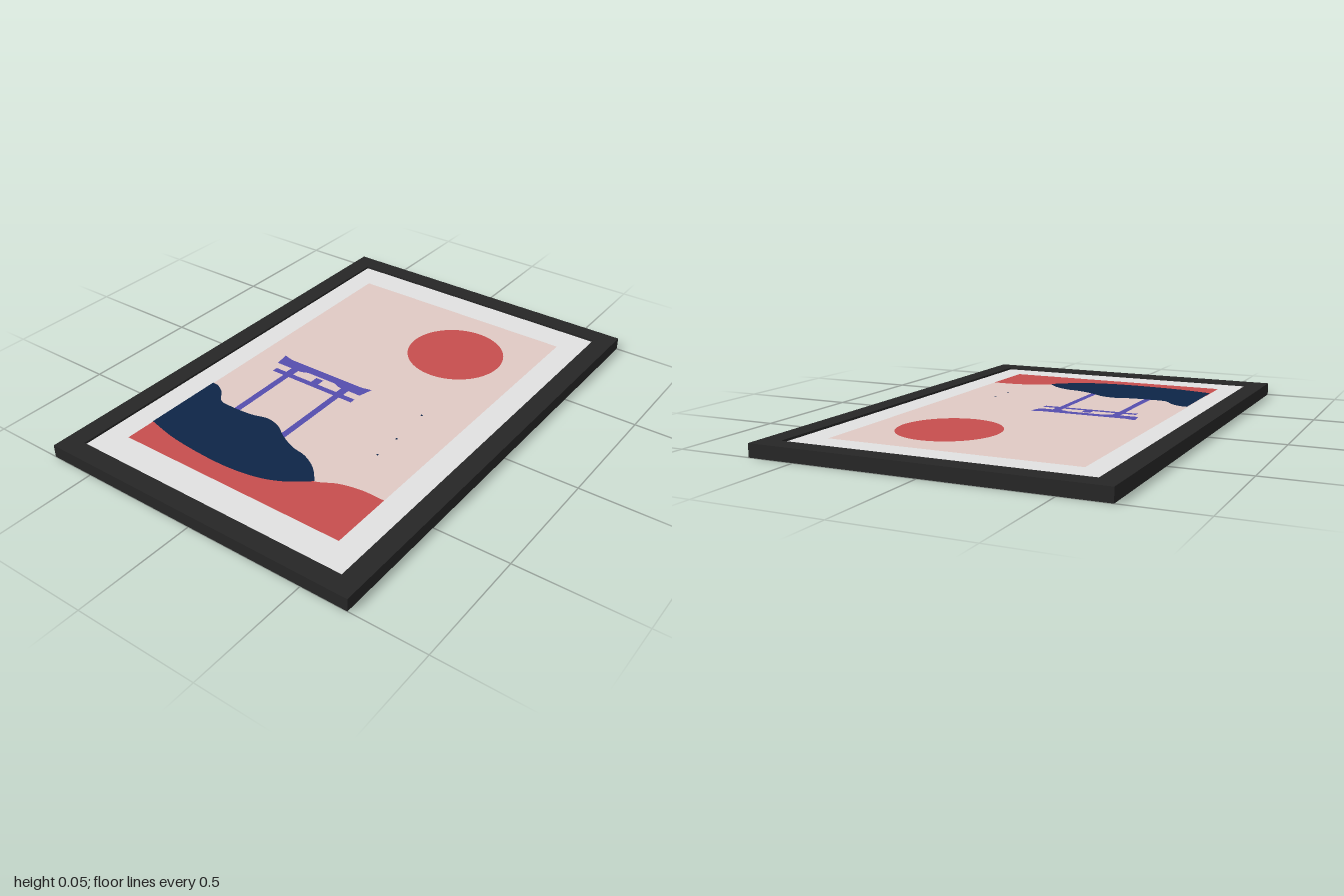
import * as THREE from 'three';

const mat = (name, color) => Object.assign(new THREE.MeshStandardMaterial({ color }), { name });

export function createModel() {
  const group = new THREE.Group();
  const black = mat('frame black', 0x262626);
  const white = mat('mount white', 0xe0e0e0);
  const pink = mat('paper pink', 0xdfc9c4);
  const red = mat('print red', 0xc64d4d);
  const navy = mat('print navy', 0x0d2547);
  const purple = mat('print purple', 0x554dad);

  const add = (name, geometry, material) => {
    const mesh = new THREE.Mesh(geometry, material);
    mesh.name = name;
    group.add(mesh);
    return mesh;
  };

  // Shapes are drawn in x and z, then laid flat facing up.
  const outline = (pts) => new THREE.Shape(pts.map(([x, z]) => new THREE.Vector2(x, -z)));
  const rect = (x0, x1, z0, z1) => outline([[x0, z1], [x1, z1], [x1, z0], [x0, z0]]);
  const MOUNT_TOP = 0.044;
  const print = (name, shape, layer, material) => {
    const geometry = new THREE.ShapeGeometry(shape, 48).rotateX(-Math.PI / 2);
    add(name, geometry, material).position.y = MOUNT_TOP + layer * 0.001;
  };
  // Smooth curve through points
  const smooth = (pts, n) => new THREE.SplineCurve(pts.map(([x, z]) => new THREE.Vector2(x, z)))
    .getPoints(n).map((p) => [p.x, p.y]);

  // Frame, open at front and back
  const border = rect(-1, 1, -0.692, 0.692);
  border.holes.push(rect(-0.92, 0.92, -0.61, 0.61));
  add('frame', new THREE.ExtrudeGeometry(border, { depth: 0.053, bevelEnabled: false })
    .rotateX(-Math.PI / 2), black);

  // Mount board set high inside the frame
  add('mountBoard', new THREE.BoxGeometry(1.84, 0.004, 1.22), white).position.y = MOUNT_TOP - 0.002;

  // Paper and sun
  print('paper', rect(-0.79, 0.79, -0.51, 0.5), 1, pink);
  const sun = new THREE.Shape();
  sun.absarc(0.475, -0.175, 0.206, 0, Math.PI * 2);
  print('sun', sun, 2, red);

  // Red ground, with its curved edge beyond the hill
  print('ground', outline([[-0.79, 0.5], [-0.79, -0.51], [-0.6, -0.51],
    ...smooth([[-0.6, 0.1], [-0.585, 0.23], [-0.545, 0.31], [-0.525, 0.4], [-0.525, 0.5]], 24)]), 2, red);

  // Navy hill
  print('hill', outline([
    ...smooth([[-0.66, -0.51], [-0.695, -0.35], [-0.71, -0.13], [-0.695, 0.03],
      [-0.655, 0.14], [-0.585, 0.235]], 30),
    ...smooth([[-0.585, 0.235], [-0.525, 0.18], [-0.485, 0.11], [-0.47, 0.04], [-0.435, -0.035],
      [-0.395, -0.095], [-0.38, -0.16], [-0.397, -0.23], [-0.402, -0.32], [-0.395, -0.39],
      [-0.345, -0.435], [-0.318, -0.48], [-0.315, -0.51]], 48)]), 4, navy);

  // Gate: pillars, tie beam, struts and flared top beam
  for (const z of [-0.302, -0.04]) {
    print('gatePillar', outline([[-0.47, z - 0.014], [-0.47, z + 0.014],
      [-0.09, z + 0.014], [-0.09, z - 0.014]]), 2, purple);
  }
  print('gateTieBeam', rect(-0.096, -0.07, -0.372, 0.036), 3, purple);
  for (const z of [-0.302, -0.17, -0.04]) {
    print('gateStrut', rect(-0.072, -0.033, z - 0.018, z + 0.018), 3, purple);
  }
  print('gateTopBeam', outline([[-0.035, -0.395], [-0.035, -0.27], [-0.022, -0.24], [-0.022, -0.1],
    [-0.035, -0.07], [-0.035, 0.035], [0.028, 0.052], [0.018, 0.01], [0.018, -0.36],
    [0.03, -0.405]]), 3, purple);

  // Tiny birds
  for (const [x, z] of [[-0.318, 0.325], [-0.192, 0.325], [-0.002, 0.315]]) {
    print('bird', rect(x - 0.004, x + 0.004, z - 0.004, z + 0.004), 2, navy);
  }
  return group;
}
